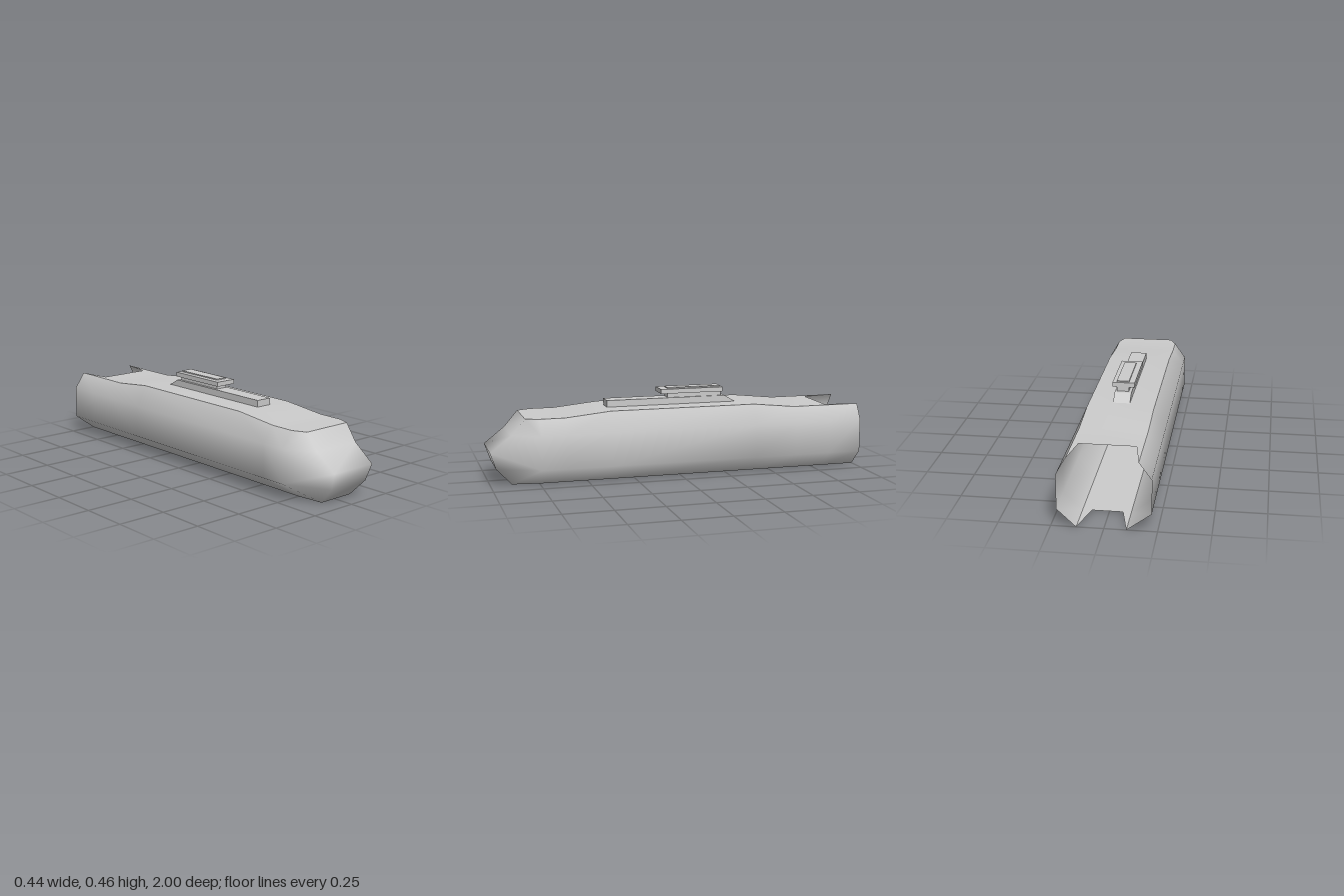
import * as THREE from 'three';

const grey = new THREE.MeshStandardMaterial({ color: 0xcccccc, side: THREE.DoubleSide });

// Cross-section corners, top to bottom: half width, x offset, height
const corners = [[0.1685, 0.0065, 0.343], [0.222, 0, 0.26], [0.222, 0, 0.087], [0.1175, 0.0125, 0]];
// Stations along the hull, back to front: z, rise of the deck
const stations = [[-1, 0], [-0.82, 0], [-0.63, 0], [-0.4, 0.024], [0.38, 0.024], [0.62, 0], [0.75, 0]];
// Nose rows, top to bottom: half width, x offset, y, z
const noseRows = [
  [0.14, 0.01, 0.343, 0.82], [0.135, 0.005, 0.26, 0.89], [0.1325, 0.0075, 0.175, 1],
  [0.12, 0.01, 0.087, 0.97], [0.1, 0.01, 0, 0.89],
];

// s = 1 for the +x side, -1 for the -x side
const at = (s, half, off, y, z) => [s * half + off, y, z];
const ring = (s, i, j) => {
  const [half, off, y] = corners[j];
  return at(s, half, off, y + (j === 0 ? stations[i][1] : 0), stations[i][0]);
};
const nose = (s, k) => at(s, ...noseRows[k]);

function makeMesh(name, points, index) {
  const g = new THREE.BufferGeometry();
  g.setAttribute('position', new THREE.Float32BufferAttribute(points.flat(), 3));
  g.setIndex(index);
  g.computeVertexNormals();
  const mesh = new THREE.Mesh(g, grey);
  mesh.name = name;
  return mesh;
}

// Both side walls and the blunt nose as one smooth skin
function sidesAndNose() {
  const points = [], index = [];
  const rings = stations.length, perSide = rings * 4 + noseRows.length;
  const R = (i, j) => i * 4 + j, N = (k) => rings * 4 + k;
  for (const s of [1, -1]) {
    const base = s > 0 ? 0 : perSide;
    const tri = (a, b, c) => index.push(base + a, base + (s > 0 ? b : c), base + (s > 0 ? c : b));
    for (let i = 0; i < rings; i++) for (let j = 0; j < 4; j++) points.push(ring(s, i, j));
    for (let k = 0; k < noseRows.length; k++) points.push(nose(s, k));
    for (let i = 0; i < rings - 1; i++) {
      for (let j = 0; j < 3; j++) {
        tri(R(i, j), R(i + 1, j), R(i + 1, j + 1));
        tri(R(i, j), R(i + 1, j + 1), R(i, j + 1));
      }
    }
    // Cheeks between the last ring and the nose
    const [r0, r1, r2, r3] = [0, 1, 2, 3].map((j) => R(rings - 1, j));
    tri(r0, N(0), r1);
    tri(r1, N(0), N(1));
    tri(r1, N(1), N(2));
    tri(r1, N(2), r2);
    tri(r2, N(2), N(3));
    tri(r2, N(3), N(4));
    tri(r2, N(4), r3);
  }
  // Front of the nose
  for (let k = 0; k < noseRows.length - 1; k++) {
    const a = N(k), b = perSide + N(k), c = b + 1, d = a + 1;
    index.push(a, b, c, a, c, d);
  }
  return makeMesh('hullSidesAndNose', points, index);
}

// Deck (j = 0) or keel (j = 3), with a notch cut into the open back end
function panel(name, j, noseRow, notchHalf, notchOff) {
  const points = [], index = [];
  const up = j === 0;
  const tri = (a, b, c) => (up ? index.push(a, b, c) : index.push(a, c, b));
  for (let i = 1; i < stations.length; i++) points.push(ring(1, i, j), ring(-1, i, j));
  points.push(nose(1, noseRow), nose(-1, noseRow));
  const rows = points.length / 2;
  for (let i = 0; i < rows - 1; i++) {
    const p = 2 * i, q = p + 1;
    tri(q, q + 2, p + 2);
    tri(q, p + 2, p);
  }
  // Pointed flaps either side of the notch
  for (const s of [1, -1]) {
    const n = points.length;
    points.push(ring(s, 0, j), at(s, notchHalf, notchOff, corners[j][2], -0.82));
    const edge = s > 0 ? 0 : 1;
    if (s > 0) tri(n, n + 1, edge);
    else tri(n, edge, n + 1);
  }
  return makeMesh(name, points, index);
}

function block(name, x0, x1, y0, y1, z0, z1) {
  const mesh = new THREE.Mesh(new THREE.BoxGeometry(x1 - x0, y1 - y0, z1 - z0), grey);
  mesh.position.set((x0 + x1) / 2, (y0 + y1) / 2, (z0 + z1) / 2);
  mesh.name = name;
  return mesh;
}

export function createModel() {
  const model = new THREE.Group();
  const hull = new THREE.Group();
  hull.name = 'hull';
  hull.add(sidesAndNose(), panel('deck', 0, 0, 0.1375, 0.0075), panel('keel', 3, 4, 0.075, 0.01));

  // Raised spine on the deck, sloping down at its back end
  const profile = new THREE.Shape();
  profile.moveTo(-0.375, 0.366);
  profile.lineTo(0.335, 0.366);
  profile.lineTo(0.275, 0.402);
  profile.lineTo(-0.375, 0.402);
  profile.closePath();
  const spineGeometry = new THREE.ExtrudeGeometry(profile, { depth: 0.086, bevelEnabled: false });
  spineGeometry.rotateY(Math.PI / 2);
  const spine = new THREE.Mesh(spineGeometry, grey);
  spine.position.x = -0.033;
  spine.name = 'spine';

  // Stacked mount on the spine
  const mount = new THREE.Group();
  mount.name = 'mount';
  mount.add(
    block('mountNeck', -0.018, 0.045, 0.4, 0.428, -0.255, 0.042),
    block('mountPlate', -0.048, 0.066, 0.426, 0.45, -0.26, 0.083),
    block('mountCap', -0.018, 0.045, 0.449, 0.456, -0.25, 0.042),
  );
  model.add(hull, spine, mount);
  return model;
}
